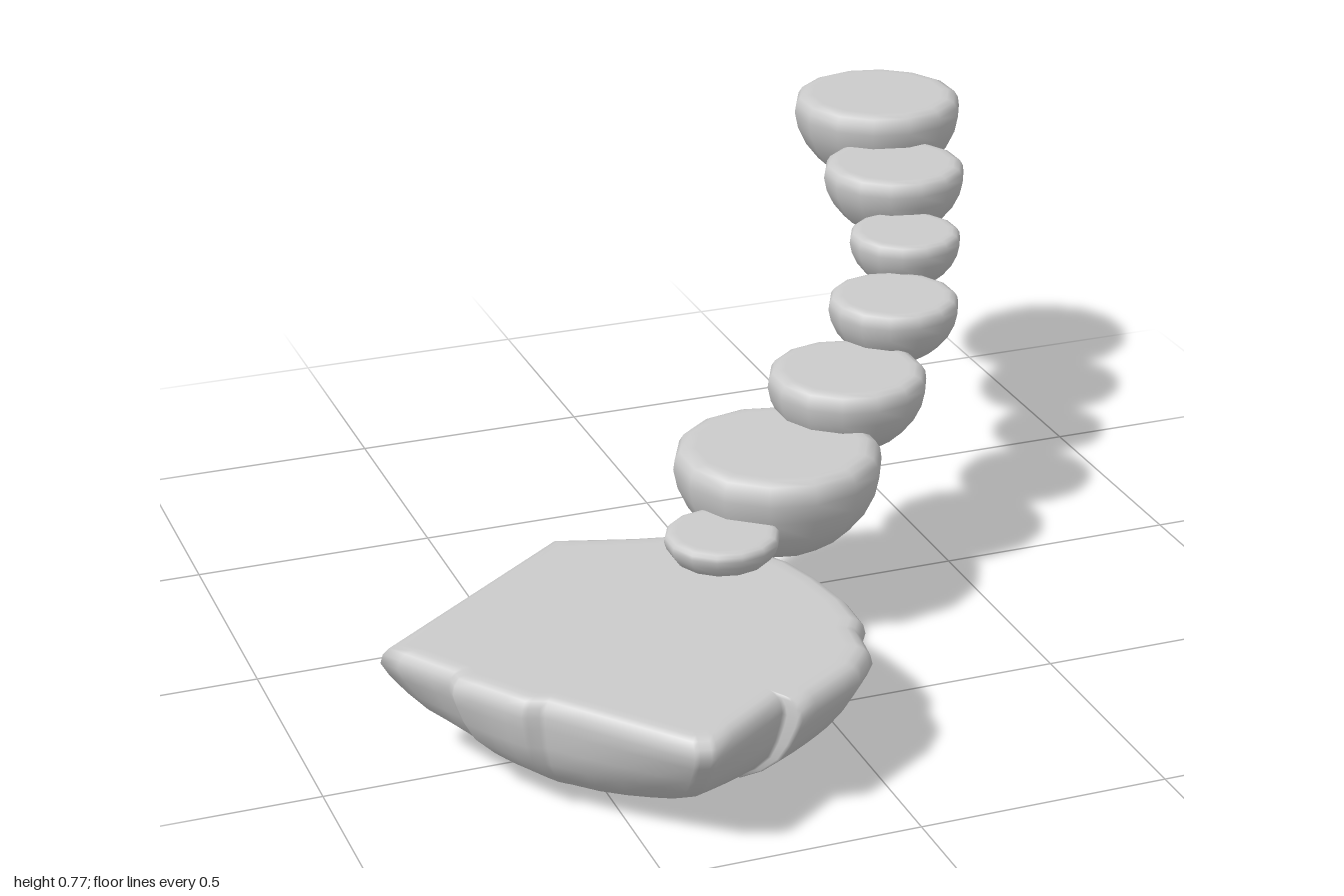
import * as THREE from 'three';

const material = new THREE.MeshStandardMaterial({ color: 0xcccccc });

// Slab outline as [x, z], counter-clockwise seen from above
const OUTLINE = [
  [-0.86, 0.43], [-0.77, 0.57], [-0.77, 0.6], [-0.68, 0.73], [-0.64, 0.745],
  [-0.44, 0.99], [-0.4, 1.0], [-0.23, 0.88], [-0.205, 0.92], [-0.05, 0.82],
  [0.0, 0.76], [0.012, 0.68], [0.036, 0.64], [0.04, 0.55], [0.025, 0.44],
  [0.0, 0.35], [-0.07, 0.23], [-0.16, 0.16], [-0.25, 0.14], [-0.41, 0.09],
];

// Slab: rings of the outline that shrink and grow rounder towards the underside
function slabGeometry() {
  const cx = -0.38, cz = 0.53, steps = 4, round = 0.45;
  const ring = [];
  OUTLINE.forEach(([x, z], i) => {
    const [nx, nz] = OUTLINE[(i + 1) % OUTLINE.length];
    for (let k = 0; k < steps; k++) {
      const t = k / steps;
      ring.push([x + (nx - x) * t - cx, z + (nz - z) * t - cz]);
    }
  });
  // [height, scale, roundness]
  const levels = [
    [0.005, 0, 1], [0.005, 0.3, 0.9], [0.02, 0.45, 0.8], [0.045, 0.61, 0.65],
    [0.08, 0.74, 0.5], [0.12, 0.85, 0.35], [0.16, 0.92, 0.2], [0.2, 0.975, 0.06],
    [0.225, 1, 0], [0.243, 0.99, 0], [0.255, 0.965, 0], [0.26, 0.93, 0],
    [0.26, 0.88, 0], [0.26, 0, 0],
  ];
  const n = ring.length, position = [], index = [];
  levels.forEach(([y, s, r], i) => {
    ring.forEach(([x, z], j) => {
      const f = s * (1 - r + (r * round) / Math.hypot(x, z));
      position.push(cx + x * f, y, cz + z * f);
      if (i === levels.length - 1) return;
      const a = i * n + j, b = i * n + (j + 1) % n;
      index.push(a, b, b + n, a, b + n, a + n);
    });
  });
  const g = new THREE.BufferGeometry();
  g.setAttribute('position', new THREE.Float32BufferAttribute(position, 3));
  g.setIndex(index);
  g.computeVertexNormals();
  return g;
}

// Stepping stone: flat top, rounded rim, bowl-shaped underside
function stoneGeometry(radius, height) {
  const profile = [
    [0, 0], [0.28, 0.02], [0.5, 0.1], [0.71, 0.24], [0.86, 0.42], [0.96, 0.62],
    [1, 0.8], [0.985, 0.9], [0.94, 0.97], [0.86, 1], [0.78, 1], [0, 1],
  ].map(([r, y]) => new THREE.Vector2(r * radius, y * height));
  return new THREE.LatheGeometry(profile, 14);
}

// Stones from the slab upwards: [x, z, radius, bottom, top]
const STONES = [
  [-0.125, 0.295, 0.115, 0.23, 0.315],
  [0.06, 0.123, 0.212, 0.175, 0.4],
  [0.265, -0.01, 0.165, 0.31, 0.483],
  [0.433, -0.165, 0.138, 0.42, 0.563],
  [0.54, -0.355, 0.12, 0.5, 0.625],
  [0.604, -0.567, 0.155, 0.54, 0.7],
  [0.668, -0.815, 0.187, 0.575, 0.772],
];

export function createModel() {
  const model = new THREE.Group();
  model.name = 'steppingStonePath';

  const slab = new THREE.Mesh(slabGeometry(), material);
  slab.name = 'landingSlab';
  model.add(slab);

  STONES.forEach(([x, z, radius, bottom, top], i) => {
    const stone = new THREE.Mesh(stoneGeometry(radius, top - bottom), material);
    stone.name = `steppingStone${i + 1}`;
    stone.position.set(x, bottom, z);
    model.add(stone);
  });

  // Rest the lowest point on the ground
  model.children.forEach((part) => { part.position.y -= 0.005; });
  return model;
}
